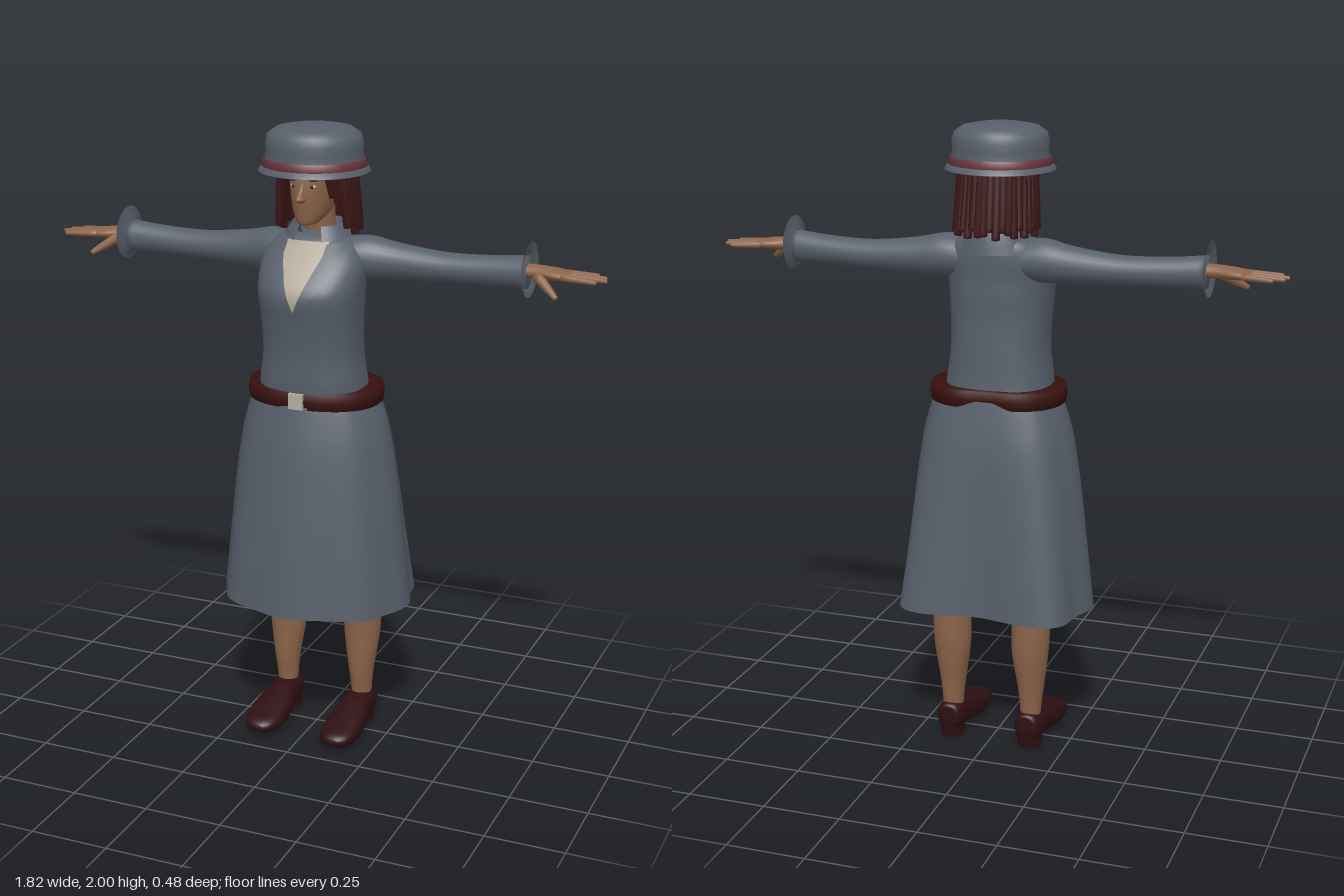
import * as THREE from 'three';

const mat = (name, color, side = THREE.FrontSide) => {
  const m = new THREE.MeshStandardMaterial({ color, side });
  m.name = name;
  return m;
};

// Catmull-Rom blend of the section rows; f runs over the row index
function sample(rows, f) {
  const i = Math.min(Math.floor(f), rows.length - 2), s = f - i;
  const at = k => rows[Math.max(0, Math.min(rows.length - 1, k))];
  const [a, b, c, d] = [at(i - 1), at(i), at(i + 1), at(i + 2)];
  return b.map((p, k) => p + 0.5 * s * (c[k] - a[k] + s * (2 * a[k] - 5 * p + 4 * c[k] - d[k]
    + s * (3 * (p - c[k]) + d[k] - a[k]))));
}

const geometry = (pos, idx) => {
  const g = new THREE.BufferGeometry();
  g.setAttribute('position', new THREE.Float32BufferAttribute(pos, 3));
  g.setIndex(idx);
  g.computeVertexNormals();
  return g;
};

// Loft upward through rows [y, centreX, centreZ, radiusX, radiusZ]; angle 0 is the front
function loft(rows, { n = 32, steps = 4, p = 2, cap = true, a0 = 0, a1 = Math.PI * 2, mod = () => 1 } = {}) {
  const pos = [], idx = [], closed = a1 - a0 > 6.28, w = closed ? n : n + 1;
  const count = (rows.length - 1) * steps;
  const pw = v => Math.sign(v) * Math.abs(v) ** (2 / p);
  for (let i = 0; i <= count; i++) {
    const [y, cx, cz, rx, rz] = sample(rows, i / steps);
    for (let j = 0; j < w; j++) {
      const a = a0 + (a1 - a0) * j / n, m = mod(a, y);
      pos.push(cx + pw(Math.sin(a)) * rx * m, y, cz + pw(Math.cos(a)) * rz * m);
    }
  }
  for (let i = 0; i < count; i++) for (let j = 0; j < n; j++) {
    const a = i * w + j, b = i * w + (j + 1) % w;
    idx.push(a, b, b + w, a, b + w, a + w);
  }
  if (cap && closed) for (const [k, row] of [[0, rows[0]], [count, rows.at(-1)]]) {
    const c = pos.length / 3;
    pos.push(row[1], row[0], row[2]);
    for (let j = 0; j < n; j++) {
      const a = k * w + j, b = k * w + (j + 1) % w;
      idx.push(...(k ? [c, a, b] : [c, b, a]));
    }
  }
  return geometry(pos, idx);
}

// Rows [x, y, z, radiusY, radiusZ] lofted along x, and [z, x, y, radiusX, radiusY] along z
const loftX = (rows, o) => loft(rows.map(([x, y, z, ry, rz]) => [x, -y, z, ry, rz]), o).rotateZ(-Math.PI / 2);
const loftZ = (rows, o) => loft(rows.map(([z, x, y, rx, ry]) => [z, x, -y, rx, ry]), o).rotateX(Math.PI / 2);

// Rounded taper between two points
function taper(from, to, r0, r1, n = 8) {
  const a = new THREE.Vector3(...from), d = new THREE.Vector3(...to).sub(a), L = d.length();
  const rows = [[0, r0], [L * 0.5, (r0 + r1) / 2], [L - r1, r1], [L - r1 * 0.3, r1 * 0.75], [L, r1 * 0.15]];
  const g = loft(rows.map(([y, r]) => [y, 0, 0, r, r]), { n, steps: 2 });
  g.applyQuaternion(new THREE.Quaternion().setFromUnitVectors(new THREE.Vector3(0, 1, 0), d.normalize()));
  return g.translate(a.x, a.y, a.z);
}

function mirror(g) {
  const m = g.clone().scale(-1, 1, 1), ix = m.index.array;
  for (let i = 0; i < ix.length; i += 3) [ix[i], ix[i + 1]] = [ix[i + 1], ix[i]];
  m.computeVertexNormals();
  return m;
}

const TORSO = [[1.14, 0, 0.012, 0.17, 0.14], [1.2, 0, 0.022, 0.168, 0.14], [1.3, 0, 0.025, 0.155, 0.138],
  [1.4, 0, 0.034, 0.157, 0.142], [1.48, 0, 0.04, 0.162, 0.15], [1.53, 0, 0.033, 0.165, 0.142],
  [1.59, 0, 0.008, 0.165, 0.12], [1.635, 0, -0.012, 0.14, 0.098], [1.66, 0, -0.02, 0.1, 0.08], [1.67, 0, -0.025, 0.055, 0.055]];
const SKIRT = [[0.47, 0, 0, 0.31, 0.243], [0.65, 0, 0.002, 0.29, 0.226], [0.85, 0, 0.003, 0.268, 0.205],
  [1.0, 0, 0.003, 0.246, 0.187], [1.09, 0, 0.003, 0.225, 0.17], [1.16, 0, 0.003, 0.198, 0.155]];

// Skirt folds: a dip at the back centre between two full lobes, growing to the hem
const folds = (a, y) => {
  const k = 0.25 + 0.75 * Math.max(0, Math.min(1, (1.15 - y) / 0.68)), b = Math.abs(a - Math.PI);
  return 1 + k * (0.13 * Math.exp(-(((b - 0.75) / 0.35) ** 2)) - 0.2 * Math.exp(-((b / 0.33) ** 2))
    + 0.022 * Math.cos(8 * a));
};

// Front surface of the torso at (x, y)
function torsoZ(x, y) {
  let lo = 0, hi = TORSO.length - 1;
  for (let i = 0; i < 30; i++) {
    const m = (lo + hi) / 2;
    if (sample(TORSO, m)[0] < y) lo = m; else hi = m;
  }
  const [, , cz, rx, rz] = sample(TORSO, lo);
  return cz + rz * Math.max(0, 1 - Math.abs(x / rx) ** 2.4) ** (1 / 2.4);
}

// Thin cloth laid on the chest between two edge functions
function patch(y0, y1, left, right, lift) {
  const pos = [], idx = [], R = 14, C = 8;
  for (let i = 0; i <= R; i++) for (let j = 0; j <= C; j++) {
    const t = i / R, y = y0 + (y1 - y0) * t, x = left(t) + (right(t) - left(t)) * j / C;
    pos.push(x, y, torsoZ(x, y) + lift);
    if (i < R && j < C) {
      const a = i * (C + 1) + j, b = a + C + 1;
      idx.push(a, a + 1, b + 1, a, b + 1, b);
    }
  }
  return geometry(pos, idx);
}

export function createModel() {
  const model = new THREE.Group();
  const coat = mat('coat grey', 0x575f6a, THREE.DoubleSide), skin = mat('skin', 0x8c6449);
  const hair = mat('dark red hair', 0x3b1516, THREE.DoubleSide), leather = mat('belt leather', 0x37100f);
  const shoe = mat('shoe leather', 0x2e0f12), ribbon = mat('hat ribbon', 0x6b343c);
  const shirt = mat('shirt cream', 0xb0a697, THREE.DoubleSide), metal = mat('buckle', 0xb5aea6);
  const lips = mat('lips', 0x70403a), iris = mat('eye dark', 0x241a18);
  const add = (name, g, m) => {
    const mesh = new THREE.Mesh(g, m);
    mesh.name = name;
    model.add(mesh);
    return mesh;
  };
  const pair = (name, g, m) => { add(name + 'Left', g, m); add(name + 'Right', mirror(g), m); };

  // Jacket
  add('jacket', loft(TORSO, { n: 48, p: 2.4 }), coat);
  add('shirtFront', patch(1.45, 1.65, t => -0.068 * Math.min(1, t * 1.2), t => 0.068 * Math.min(1, t * 1.2), 0.005), shirt);
  pair('lapel', patch(1.44, 1.645, t => 0.064 * Math.min(1, t * 1.2), t => 0.066 * Math.min(1, t * 1.2) + 0.058 * Math.sin(Math.PI * Math.min(t * 0.75, 0.6)), 0.01), coat);
  add('collar', loft([[1.615, 0, -0.012, 0.132, 0.118], [1.65, 0, -0.02, 0.112, 0.104], [1.685, 0, -0.025, 0.092, 0.09],
    [1.693, 0, -0.025, 0.084, 0.083], [1.66, 0, -0.025, 0.07, 0.07]], { a0: 0.42, a1: Math.PI * 2 - 0.42, steps: 3 }), coat);

  // Sleeves and flared cuffs
  pair('sleeve', loftX([[0.08, 1.59, -0.02, 0.06, 0.075], [0.16, 1.592, -0.03, 0.068, 0.068], [0.25, 1.586, -0.039, 0.057, 0.055],
    [0.4, 1.58, -0.042, 0.046, 0.047], [0.55, 1.584, -0.04, 0.046, 0.044], [0.665, 1.59, -0.036, 0.051, 0.045]], { n: 24 }), coat);
  pair('cuff', loftX([[0.66, 1.592, -0.035, 0.05, 0.045], [0.667, 1.596, -0.034, 0.066, 0.064], [0.672, 1.599, -0.033, 0.085, 0.086]],
    { n: 28, steps: 2, cap: false }), coat);

  // Hands
  pair('palm', loftX([[0.64, 1.594, -0.036, 0.022, 0.027], [0.7, 1.594, -0.036, 0.021, 0.031], [0.75, 1.592, -0.037, 0.018, 0.043],
    [0.785, 1.59, -0.037, 0.013, 0.043], [0.797, 1.59, -0.037, 0.006, 0.038]], { n: 20 }), skin);
  for (const [z0, x1, z1] of [[-0.07, 0.87, -0.088], [-0.048, 0.9, -0.06], [-0.025, 0.908, -0.028], [-0.004, 0.885, 0.008]])
    pair('finger', taper([0.775, 1.59, z0], [x1, 1.586, z1], 0.011, 0.007), skin);
  pair('thumb', taper([0.7, 1.585, -0.015], [0.775, 1.535, 0.04], 0.018, 0.009), skin);

  // Skirt with an overlapping front panel
  add('skirt', loft(SKIRT, { n: 96, p: 2.1, cap: false, mod: folds }), coat);
  add('skirtFrontPanel', loft(SKIRT, { n: 16, p: 2.1, a0: -0.75, a1: 0.16,
    mod: (a, y) => folds(a < 0 ? a + Math.PI * 2 : a, y) + 0.025 * Math.min(1, (a + 0.75) * 2) }), coat);

  // Belt
  const band = [[1.137, 0.2, 0.15], [1.138, 0.213, 0.161], [1.164, 0.217, 0.164], [1.19, 0.213, 0.161], [1.191, 0.165, 0.13]];
  add('belt', loft(band.map(([y, rx, rz]) => [y, 0, 0.003, rx, rz]), { n: 72, p: 2.3, steps: 1, cap: false,
    mod: a => 1 - 0.1 * Math.exp(-(((a - Math.PI) / 0.35) ** 2)) }), leather);
  add('buckle', new THREE.BoxGeometry(0.048, 0.05, 0.012), metal).position.set(0, 1.165, 0.168);

  // Legs and shoes
  pair('leg', loft([[0.05, 0.133, -0.068, 0.03, 0.036], [0.13, 0.133, -0.068, 0.034, 0.041], [0.2, 0.133, -0.066, 0.042, 0.05],
    [0.32, 0.132, -0.073, 0.059, 0.061], [0.42, 0.134, -0.07, 0.062, 0.067], [0.52, 0.132, -0.062, 0.066, 0.073],
    [0.9, 0.1, -0.02, 0.085, 0.085]], { n: 24 }), skin);
  const shoeBody = loftZ([[-0.122, 0.133, 0.082, 0.022, 0.026], [-0.105, 0.133, 0.073, 0.042, 0.047], [-0.02, 0.133, 0.065, 0.05, 0.047],
    [0.05, 0.133, 0.05, 0.06, 0.044], [0.12, 0.133, 0.038, 0.063, 0.035], [0.175, 0.133, 0.034, 0.047, 0.024],
    [0.197, 0.133, 0.034, 0.018, 0.01]], { n: 24, p: 2.4 });
  pair('shoe', shoeBody, shoe);
  pair('heel', new THREE.CylinderGeometry(0.042, 0.037, 0.045, 20).translate(0.133, 0.0225, -0.078), shoe);

  // Head and face
  add('neck', loft([[1.6, 0, -0.03, 0.055, 0.055], [1.68, 0, -0.025, 0.047, 0.05], [1.78, 0, -0.02, 0.05, 0.055]], { n: 24 }), skin);
  add('head', loft([[1.702, 0, 0.08, 0.015, 0.02], [1.708, 0, 0.066, 0.032, 0.044], [1.735, 0, 0.036, 0.052, 0.08],
    [1.78, 0, 0.016, 0.065, 0.106], [1.84, 0, 0.008, 0.073, 0.112], [1.9, 0, 0, 0.074, 0.105], [1.96, 0, 0, 0.045, 0.065]]), skin);
  add('nose', loft([[1.775, 0, 0.118, 0.01, 0.014], [1.784, 0, 0.122, 0.015, 0.029], [1.795, 0, 0.12, 0.011, 0.026],
    [1.815, 0, 0.116, 0.008, 0.013], [1.84, 0, 0.11, 0.006, 0.008]], { n: 14 }), skin);
  const blob = (x, y, z, sx, sy, sz) => new THREE.SphereGeometry(1, 16, 10).scale(sx, sy, sz).translate(x, y, z);
  add('mouth', blob(0, 1.754, 0.109, 0.022, 0.007, 0.01), lips);
  pair('eyeWhite', blob(0.029, 1.823, 0.106, 0.013, 0.006, 0.007), shirt);
  pair('iris', blob(0.029, 1.823, 0.11, 0.006, 0.006, 0.005), iris);
  pair('eyebrow', blob(0.029, 1.841, 0.107, 0.017, 0.003, 0.007), hair);
  pair('ear', blob(0.073, 1.8, 0.0, 0.01, 0.025, 0.016), skin);

  // Bobbed hair: a shell behind the face with locks over it
  add('hairShell', loft([[1.69, 0, -0.02, 0.116, 0.108], [1.76, 0, -0.015, 0.117, 0.113], [1.9, 0, 0, 0.1, 0.11]],
    { a0: 1.35, a1: Math.PI * 2 - 1.35 }), hair);
  const N = 26;
  for (let i = 0; i <= N; i++) {
    const a = 1.15 + (Math.PI * 2 - 2.3) * i / N, s = Math.sin(a), c = Math.cos(a);
    const end = 1.675 + 0.014 * Math.sin(i * 2.4) + 0.03 * Math.max(0, c);
    add('hairLock', taper([0.106 * s, 1.9, 0.108 * c], [0.124 * s, end, -0.02 + 0.122 * c], 0.016, 0.013), hair);
  }
  for (const [x, z, end] of [[0.066, 0.09, 1.785], [0.074, 0.07, 1.765], [0.083, 0.05, 1.75]])
    pair('sideFringe', taper([x, 1.89, z], [x + 0.014, end, z - 0.015], 0.015, 0.008), hair);

  // Hat with ribbon
  const lathe = pts => new THREE.LatheGeometry(pts.map(q => new THREE.Vector2(...q)), 48).translate(0, 0, 0.02);
  add('hatCrown', lathe([[0.151, 1.897], [0.148, 1.92], [0.15, 1.945], [0.142, 1.97], [0.118, 1.987], [0.07, 1.996], [0.001, 2]]), coat);
  add('hatRibbon', lathe([[0.15, 1.874], [0.161, 1.874], [0.155, 1.898], [0.146, 1.899]]), ribbon);
  add('hatBrim', lathe([[0.135, 1.875], [0.168, 1.857], [0.172, 1.859], [0.158, 1.879], [0.15, 1.88]]), coat);
  return model;
}
